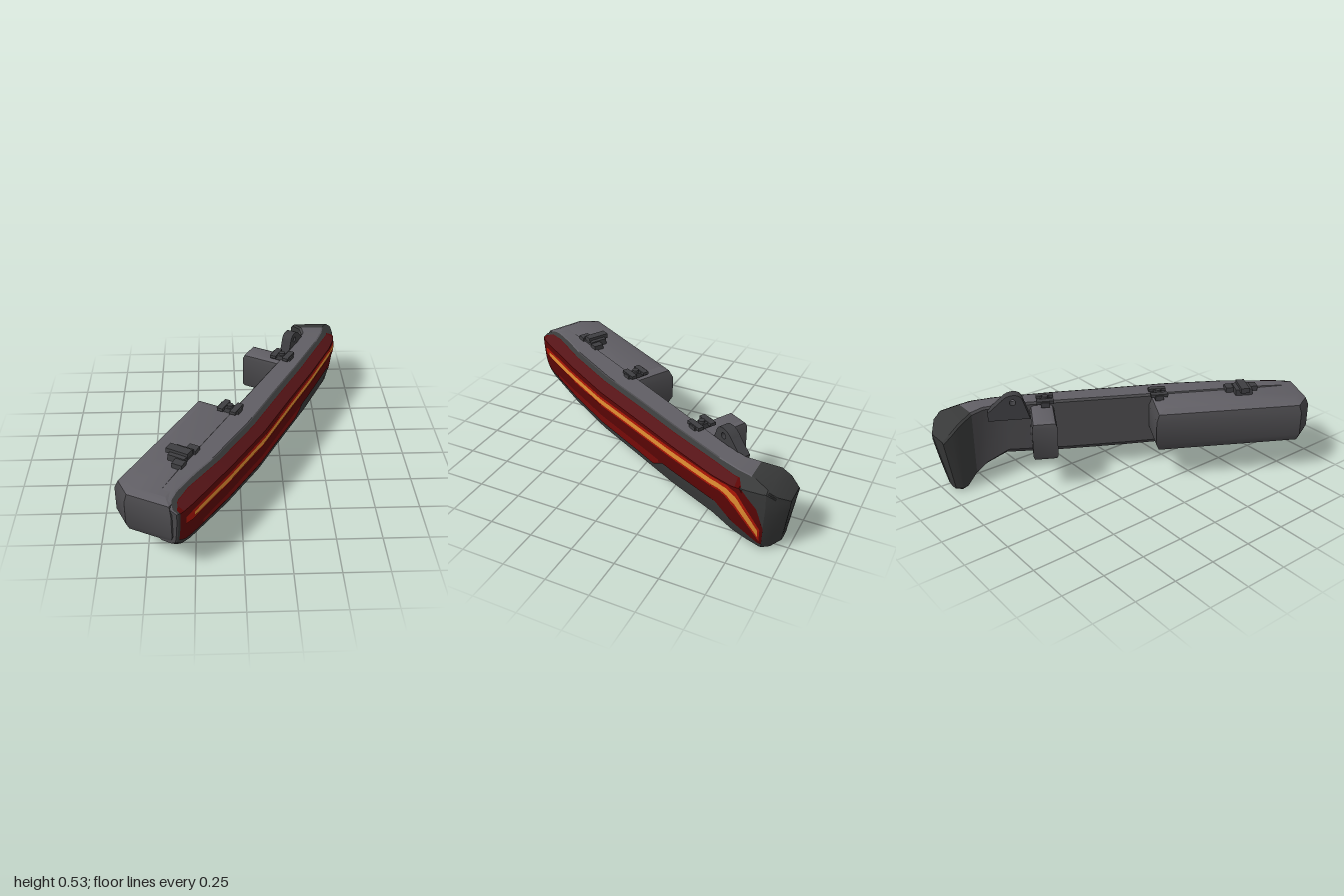
import * as THREE from 'three';
import { toCreasedNormals } from 'three/addons/utils/BufferGeometryUtils.js';

const mat = (name, color, side = THREE.FrontSide) => {
  const m = new THREE.MeshStandardMaterial({ color, side });
  m.name = name;
  return m;
};

// Housing stations along z: z, outer x, inner x, bottom y, top y
const STATIONS = [
  [0.99, -0.33, -0.445, 0.2, 0.415], [0.96, -0.3, -0.44, 0.165, 0.44],
  [0.9, -0.255, -0.411, 0.147, 0.45], [0.75, -0.155, -0.342, 0.138, 0.455],
  [0.6, -0.055, -0.28, 0.132, 0.455], [0.3, 0.13, -0.114, 0.125, 0.455],
  [0, 0.285, 0.052, 0.12, 0.455], [-0.3, 0.445, 0.218, 0.12, 0.455],
  [-0.6, 0.593, 0.384, 0.13, 0.453], [-0.72, 0.635, 0.43, 0.085, 0.45],
  [-0.8, 0.64, 0.425, 0.045, 0.443], [-0.9, 0.637, 0.39, 0.005, 0.415],
  [-0.95, 0.605, 0.385, 0, 0.38], [-1, 0.54, 0.4, 0.01, 0.33],
];
const SHOULDER = 0.4;

// Linear lookup in rows sorted by falling z
function lookup(rows, z, col = 1) {
  let i = 0;
  while (i < rows.length - 2 && z < rows[i + 1][0]) i++;
  const a = rows[i], b = rows[i + 1];
  const t = THREE.MathUtils.clamp((a[0] - z) / (a[0] - b[0]), 0, 1);
  return a[col] + (b[col] - a[col]) * t;
}

// Skews the front end square to the lamp and leans the tail end
function place(x, y, z) {
  const k = 0.55 * Math.max(0, z - 0.6) / 0.39;
  const lean = Math.max(0, -0.8 - z) / 0.2 * 0.17 * Math.max(0, 0.3 - y);
  return [x, y, z + k * (x - lookup(STATIONS, z)) + lean];
}

// Outer face: sloped shoulder on top, tucking under below
function outerX(y, z) {
  const d = y - SHOULDER;
  return lookup(STATIONS, z) - (d > 0 ? 1.65 * d : 0.4 * d * d);
}

// Heights between two limits, with a row on the shoulder
function levels(lo, hi) {
  const mid = lo < SHOULDER && hi > SHOULDER ? SHOULDER : lo + (hi - lo) * 0.9;
  const out = [];
  for (let j = 0; j <= 8; j++) out.push(lo + (mid - lo) * j / 8);
  for (let j = 1; j <= 3; j++) out.push(mid + (hi - mid) * j / 3);
  return out;
}

function geometry(pos, index) {
  const g = new THREE.BufferGeometry();
  g.setAttribute('position', new THREE.Float32BufferAttribute(pos, 3));
  g.setIndex(index);
  g.computeVertexNormals();
  return g;
}

// Sorts triangles into material groups by a rule on normal and centre
function paint(geo, rule) {
  const p = geo.getAttribute('position'), sets = [[], [], []];
  const tri = new THREE.Triangle(), n = new THREE.Vector3(), mid = new THREE.Vector3();
  for (let i = 0; i < p.count; i += 3) {
    tri.setFromAttributeAndIndices(p, i, i + 1, i + 2);
    sets[rule(tri.getNormal(n), tri.getMidpoint(mid))].push(i, i + 1, i + 2);
  }
  geo.setIndex(sets.flat());
  geo.clearGroups();
  let start = 0;
  sets.forEach((s, k) => {
    if (s.length) geo.addGroup(start, s.length, k);
    start += s.length;
  });
  return geo;
}

// Closed loft through the stations, with a dark tail
function housingGeometry() {
  const pos = [], index = [];
  let n = 0;
  for (const [z, , xi, lo, hi] of STATIONS) {
    const ring = [[outerX(lo, z) - 0.02, lo]];
    for (const y of levels(lo + 0.015, hi)) ring.push([outerX(y, z), y]);
    const cut = z < -0.65 ? 0.012 : 0.03;
    ring.push([xi + 0.012, hi], [xi, hi - 0.012], [xi, lo + cut], [xi + cut, lo]);
    n = ring.length;
    for (const [x, y] of ring) pos.push(...place(x, y, z));
  }
  const last = (STATIONS.length - 1) * n;
  for (let i = 0; i < last; i += n)
    for (let j = 0; j < n; j++) {
      const k = (j + 1) % n;
      index.push(i + j, i + n + j, i + n + k, i + j, i + n + k, i + k);
    }
  for (let j = 1; j < n - 1; j++)
    index.push(0, j, j + 1, last, last + j + 1, last + j);
  return paint(toCreasedNormals(geometry(pos, index), 0.5),
    (normal, mid) => (mid.z < -0.81 ? 2 : normal.y > 0.83 ? 1 : 0));
}

// Thin skin on the outer face between two height curves
function skin(z0, z1, low, high, offset) {
  const pos = [], index = [], cols = 120;
  for (let i = 0; i <= cols; i++) {
    const z = z0 + (z1 - z0) * i / cols, ys = levels(low(z), high(z));
    ys.forEach((y, j) => {
      const p = place(outerX(y, z), y, z);
      pos.push(p[0] + offset, p[1] + (y > SHOULDER ? offset * 0.3 : 0), p[2] + offset * 0.4);
      if (i < cols && j < ys.length - 1) {
        const a = i * ys.length + j, d = a + ys.length;
        index.push(a, d, d + 1, a, d + 1, a + 1);
      }
    });
  }
  return toCreasedNormals(geometry(pos, index), 0.5);
}

// Bevelled block from a plan of [along, depth] points
function block(plan, y0, y1, bevel) {
  const shape = new THREE.Shape(plan.map(([s, d]) => new THREE.Vector2(s, -d)));
  const g = new THREE.ExtrudeGeometry(shape, {
    depth: y1 - y0 - 2 * bevel, bevelSize: bevel, bevelThickness: bevel,
    bevelOffset: -bevel, bevelSegments: 2,
  });
  g.rotateX(-Math.PI / 2).translate(0, y0 + bevel, 0);
  return paint(toCreasedNormals(g, 0.5), (normal) => (normal.y > 0.6 ? 1 : 0));
}

export function createModel() {
  const model = new THREE.Group();
  model.name = 'tailLamp';
  const grey = mat('housing grey', 0x49484b);
  const lightGrey = mat('upper light grey', 0x605e64);
  const dark = mat('bezel charcoal', 0x383939, THREE.DoubleSide);
  const clipGrey = mat('clip grey', 0x3e3e41);
  const red = mat('lens dark red', 0x5c0606, THREE.DoubleSide);
  const dusky = mat('shoulder dusky red', 0x551417, THREE.DoubleSide);
  const midRed = mat('reflector red', 0x7c0b09, THREE.DoubleSide);
  const glow = mat('glow red', 0xb01606, THREE.DoubleSide);
  const amber = mat('light bar amber', 0xec9434, THREE.DoubleSide);
  const add = (parent, name, geo, material, x = 0, y = 0, z = 0) => {
    const m = new THREE.Mesh(geo, material);
    m.name = name;
    m.position.set(x, y, z);
    parent.add(m);
  };
  const curve = (rows) => (z) => lookup(rows, z);

  // Housing and the face it frames
  add(model, 'housing', housingGeometry(), [grey, lightGrey, dark]);
  add(model, 'bezel', skin(0.985, -0.89,
    (z) => lookup(STATIONS, z, 3) + 0.016, (z) => lookup(STATIONS, z, 4) - 0.003, 0.003), dark);
  const lensLow = curve([[0.978, 0.225], [0.94, 0.195], [0.85, 0.185], [0.5, 0.178], [-0.15, 0.17],
    [-0.23, 0.228], [-0.62, 0.243], [-0.87, 0.06], [-0.905, 0.05]]);
  const lensHigh = curve([[0.978, 0.41], [0.94, 0.43], [0.85, 0.438], [-0.6, 0.438],
    [-0.75, 0.428], [-0.86, 0.3], [-0.905, 0.17]]);
  add(model, 'lens', skin(0.978, -0.905, lensLow, lensHigh, 0.006), red);
  add(model, 'lensShoulder', skin(0.96, -0.74, () => 0.401, (z) => lensHigh(z) - 0.001, 0.0075), dusky);
  add(model, 'lowerReflector', skin(0.82, -0.2, (z) => lensLow(z) + 0.008,
    curve([[0.82, 0.225], [0.5, 0.235], [-0.2, 0.235]]), 0.0085), midRed);

  // Light bar with its glow, bending down into the tail
  const barY = curve([[0.92, 0.332], [0, 0.346], [-0.64, 0.364], [-0.7, 0.355],
    [-0.75, 0.32], [-0.89, 0.12]]);
  const bar = (z0, z1, half, tailHalf, offset) => {
    const h = curve([[z0, half * 0.7], [z0 - 0.05, half], [-0.66, half], [-0.76, tailHalf], [z1, tailHalf * 0.8]]);
    return skin(z0, z1, (z) => barY(z) - h(z), (z) => barY(z) + h(z), offset);
  };
  add(model, 'barGlow', bar(0.95, -0.89, 0.031, 0.055, 0.009), glow);
  add(model, 'lightBar', bar(0.9, -0.88, 0.016, 0.028, 0.0115), amber);

  // Rear fittings in a frame along the lamp: x along, y up, z to the back
  const rear = new THREE.Group();
  rear.name = 'rearFittings';
  rear.position.set(-0.02, 0, 0.13);
  rear.rotation.y = Math.atan2(-0.875, -0.485);
  model.add(rear);
  add(rear, 'rearBox', block([[0, -0.09], [0, 0.245], [0.85, 0.25], [0.93, 0.14], [0.915, -0.12]],
    0.19, 0.448, 0.06), [grey, lightGrey]);
  add(rear, 'connectorBox', block([[-0.7, -0.08], [-0.7, 0.24], [-0.56, 0.24], [-0.56, -0.08]],
    0.2, 0.435, 0.028), [grey, lightGrey]);

  // Mounting tab with a bolt hole
  const tab = new THREE.Shape();
  tab.moveTo(-0.94, 0.38);
  tab.lineTo(-0.7, 0.38);
  tab.lineTo(-0.735, 0.49);
  tab.quadraticCurveTo(-0.745, 0.533, -0.79, 0.533);
  tab.quadraticCurveTo(-0.83, 0.533, -0.86, 0.5);
  tab.lineTo(-0.94, 0.43);
  const hole = new THREE.Path();
  hole.absarc(-0.795, 0.488, 0.018, 0, Math.PI * 2, true);
  tab.holes.push(hole);
  add(rear, 'mountingTab', new THREE.ExtrudeGeometry(tab,
    { depth: 0.06, bevelEnabled: false, curveSegments: 10 }), clipGrey, 0, 0, -0.005);

  // Small spring clips on the top edge
  for (const [s, d] of [[0.05, 0.01], [-0.61, -0.005]]) {
    const clip = new THREE.Group();
    clip.name = 'springClip';
    clip.position.set(s, 0.455, d);
    add(clip, 'clipBase', new THREE.BoxGeometry(0.05, 0.03, 0.13), clipGrey, 0, 0.005);
    for (const e of [-1, 1])
      add(clip, 'clipJaw', new THREE.BoxGeometry(0.1, 0.018, 0.035), clipGrey, 0, 0.017, e * 0.04);
    add(clip, 'clipPin', new THREE.CylinderGeometry(0.018, 0.018, 0.03, 12), clipGrey, 0, 0.02);
    rear.add(clip);
  }

  // Larger locating clip near the front end
  const locator = new THREE.Group();
  locator.name = 'locatingClip';
  locator.position.set(0.55, 0.44, 0.035);
  add(locator, 'locatorBase', new THREE.BoxGeometry(0.1, 0.05, 0.1), clipGrey, 0, 0.02);
  add(locator, 'locatorRib', new THREE.BoxGeometry(0.05, 0.03, 0.13), clipGrey, 0, 0.047, 0.01);
  for (const e of [-1, 1])
    add(locator, 'locatorFoot', new THREE.BoxGeometry(0.05, 0.035, 0.06), clipGrey, e * 0.07, 0.02, -0.03);
  rear.add(locator);
  return model;
}
